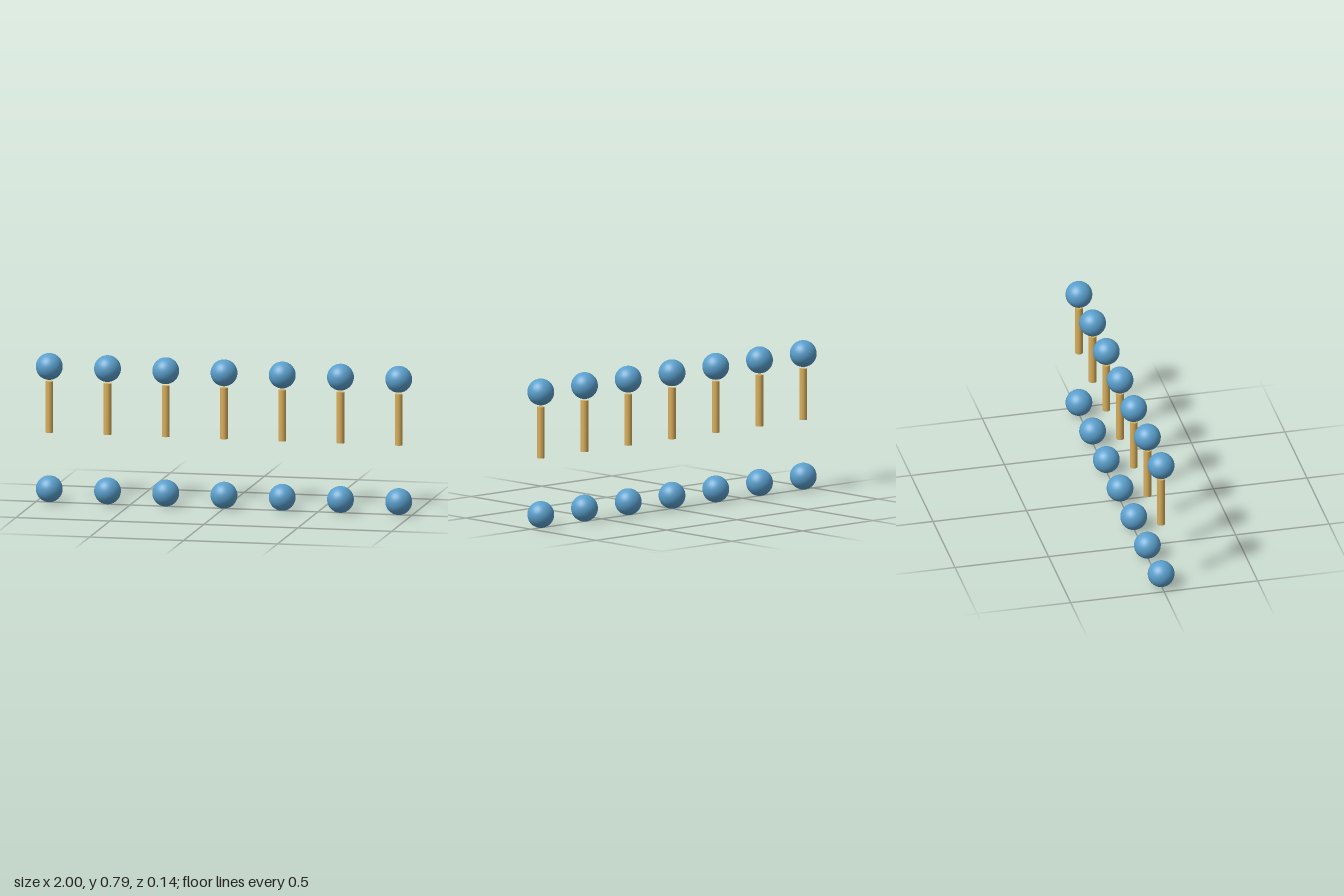
import * as THREE from 'three';

export function createModel() {
  const model = new THREE.Group();
  model.name = 'ballAndRodRow';

  const blue = new THREE.MeshStandardMaterial({ color: 0x5a9fcc });
  blue.name = 'blue';
  const tan = new THREE.MeshStandardMaterial({ color: 0xd8ae5b });
  tan.name = 'tan';

  const ballGeometry = new THREE.SphereGeometry(0.07, 32, 24);
  const rodGeometry = new THREE.CylinderGeometry(0.0205, 0.0205, 0.27, 24);

  const addPart = (parent, name, geometry, material, y) => {
    const mesh = new THREE.Mesh(geometry, material);
    mesh.name = name;
    mesh.position.y = y;
    parent.add(mesh);
  };

  // Seven equal columns: a low ball, a floating rod and a ball above it
  const count = 7;
  const spacing = 0.31;
  for (let i = 0; i < count; i++) {
    const column = new THREE.Group();
    column.name = `column${i + 1}`;
    column.position.x = (i - (count - 1) / 2) * spacing;
    addPart(column, 'lowerBall', ballGeometry, blue, 0.072);
    addPart(column, 'rod', rodGeometry, tan, 0.505);
    addPart(column, 'upperBall', ballGeometry, blue, 0.718);
    model.add(column);
  }
  return model;
}
